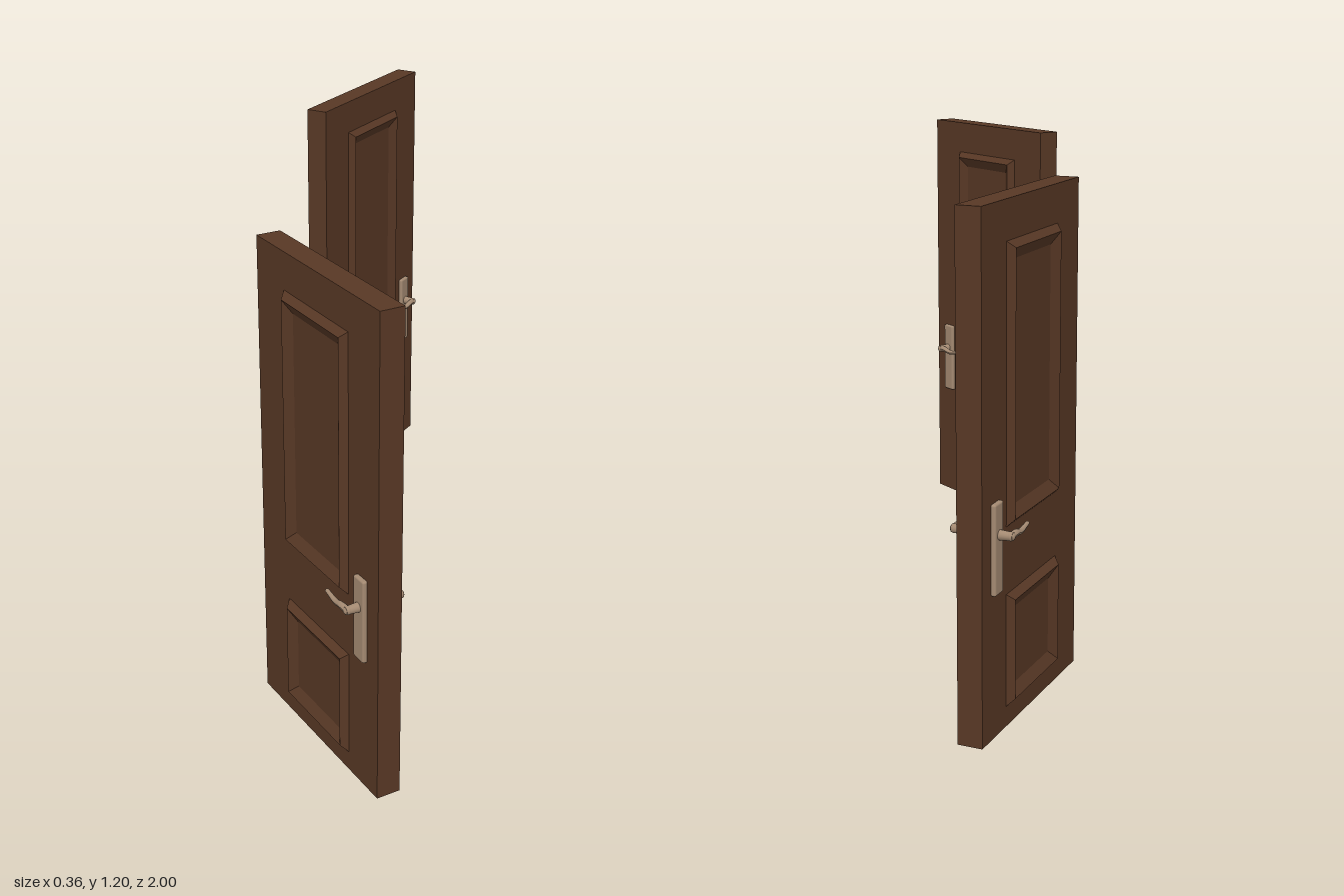
import * as THREE from 'three';
import { RoundedBoxGeometry } from 'three/addons/geometries/RoundedBoxGeometry.js';

const WIDTH = 0.537, HEIGHT = 1.195, THICK = 0.06;

const wood = new THREE.MeshStandardMaterial({ color: 0x583825 });
wood.name = 'dark wood';
const metal = new THREE.MeshStandardMaterial({ color: 0xa48a72 });
metal.name = 'bronze metal';

function addMesh(parent, name, geometry, material, x = 0, y = 0, z = 0) {
  const mesh = new THREE.Mesh(geometry, material);
  mesh.name = name;
  mesh.position.set(x, y, z);
  parent.add(mesh);
  return mesh;
}

// Raised moulding and inset panel: nested rectangles joined by sloping faces
function panelGeometry(width, height) {
  const loops = [[0, 0.029], [0.016, 0.046], [0.043, 0.031]].map(([inset, z]) => {
    const w = width / 2 - inset, h = height / 2 - inset;
    return [[-w, -h, z], [w, -h, z], [w, h, z], [-w, h, z]];
  });
  const points = [];
  const quad = (a, b, c, d) => points.push(...a, ...b, ...c, ...a, ...c, ...d);
  for (let k = 0; k < 2; k++) {
    for (let i = 0; i < 4; i++) {
      const j = (i + 1) % 4;
      quad(loops[k][i], loops[k][j], loops[k + 1][j], loops[k + 1][i]);
    }
  }
  quad(...loops[2]);
  const geometry = new THREE.BufferGeometry();
  geometry.setAttribute('position', new THREE.Float32BufferAttribute(points, 3));
  geometry.computeVertexNormals();
  return geometry;
}

// Gently waved grip that tapers towards its tip
function leverGeometry(dir) {
  const curve = new THREE.CatmullRomCurve3([
    [0.2, 0.475, 0.067], [0.178, 0.477, 0.069], [0.15, 0.472, 0.068], [0.108, 0.477, 0.066],
  ].map(([x, y, z]) => new THREE.Vector3(dir * x, y, z)));
  const steps = 20, sides = 10;
  const geometry = new THREE.TubeGeometry(curve, steps, 0.009, sides, false);
  const pos = geometry.attributes.position;
  const p = new THREE.Vector3();
  for (let i = 0; i < pos.count; i++) {
    const t = Math.floor(i / (sides + 1)) / steps;
    const centre = curve.getPointAt(t);
    p.fromBufferAttribute(pos, i).sub(centre).multiplyScalar(1 - 0.45 * t).add(centre);
    pos.setXYZ(i, p.x, p.y, p.z);
  }
  geometry.computeVertexNormals();
  return geometry;
}

// Back plate, spindle and lever; dir is the side of the door they sit on
function makeHandle(dir) {
  const handle = new THREE.Group();
  handle.name = 'handle';
  addMesh(handle, 'handlePlate', new RoundedBoxGeometry(0.044, 0.209, 0.014, 2, 0.005), metal, dir * 0.2, 0.443, 0.034);
  const spindle = new THREE.CylinderGeometry(0.0095, 0.012, 0.035, 16).rotateX(Math.PI / 2);
  addMesh(handle, 'spindle', spindle, metal, dir * 0.2, 0.475, 0.0555);
  addMesh(handle, 'leverKnuckle', new THREE.SphereGeometry(0.0105, 14, 10), metal, dir * 0.2, 0.475, 0.067);
  addMesh(handle, 'lever', leverGeometry(dir), metal);
  addMesh(handle, 'leverTip', new THREE.SphereGeometry(0.005, 10, 8), metal, dir * 0.108, 0.477, 0.066);
  return handle;
}

function makeDoor(name, x, z, angle) {
  const door = new THREE.Group();
  door.name = name;
  door.position.set(x, 0, z);
  door.rotation.y = THREE.MathUtils.degToRad(angle);
  addMesh(door, 'doorSlab', new THREE.BoxGeometry(WIDTH, HEIGHT, THICK), wood, 0, HEIGHT / 2, 0);

  // Both faces carry the same panels and a handle on the same edge
  for (const dir of [1, -1]) {
    const face = new THREE.Group();
    face.name = dir > 0 ? 'outerFace' : 'innerFace';
    face.rotation.y = dir > 0 ? 0 : Math.PI;
    addMesh(face, 'upperPanel', panelGeometry(0.284, 0.634), wood, 0, 0.789, 0);
    addMesh(face, 'lowerPanel', panelGeometry(0.284, 0.269), wood, 0, 0.182, 0);
    face.add(makeHandle(dir));
    door.add(face);
  }
  return door;
}

export function createModel() {
  const model = new THREE.Group();
  model.name = 'pairOfDoors';
  model.add(makeDoor('frontDoor', 0, 0.763, -55));
  model.add(makeDoor('backDoor', -0.038, -0.744, 65));
  return model;
}
